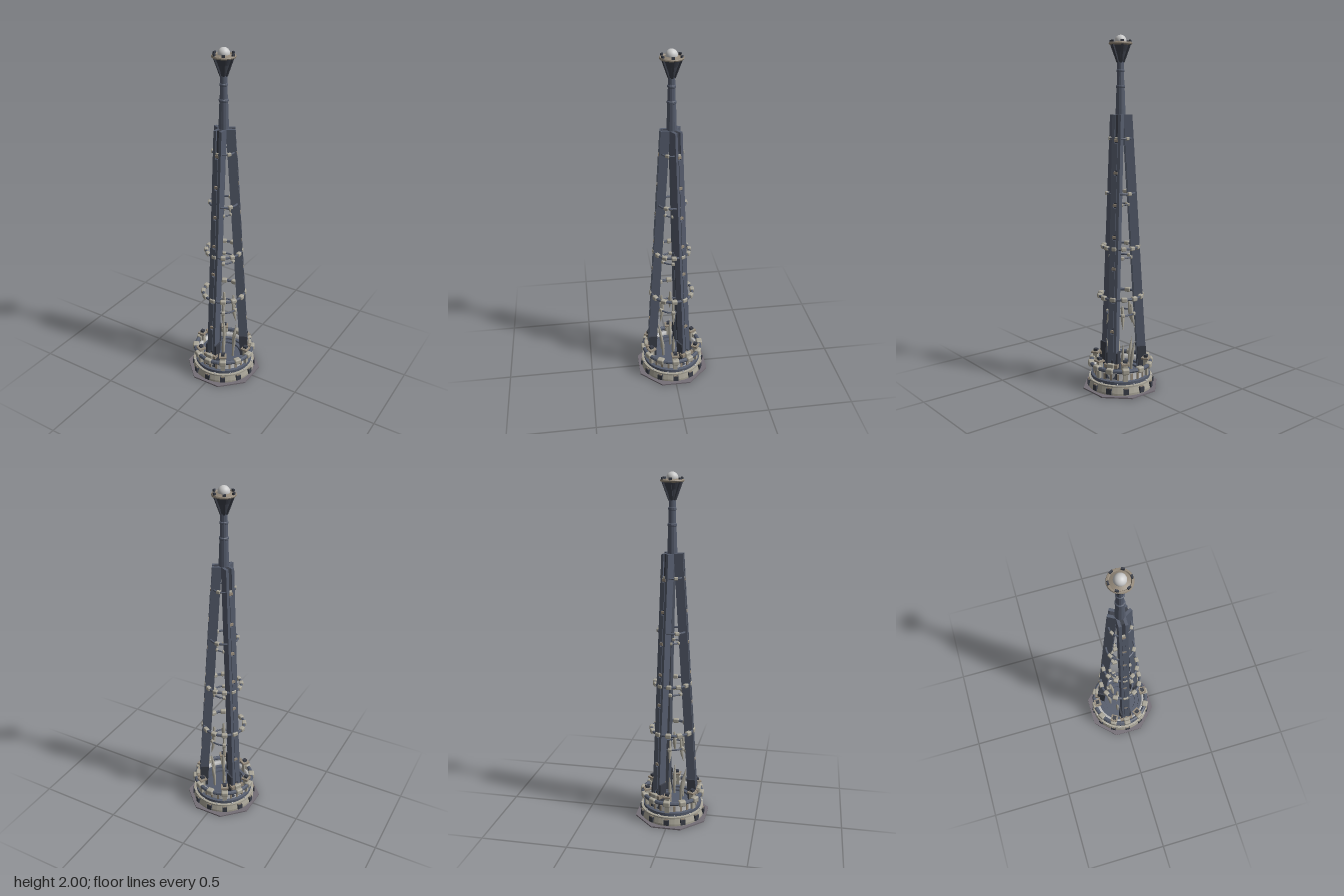
import * as THREE from 'three';
import { RoundedBoxGeometry } from 'three/addons/geometries/RoundedBoxGeometry.js';

const mat = (color, extra = {}) => new THREE.MeshStandardMaterial({ color, ...extra });
const steel = mat(0x555c6c, { flatShading: true });
const dark = mat(0x3a3e48, { flatShading: true });
const stone = mat(0xa9a598);
const bronze = mat(0x94897a, { flatShading: true });
const slab = mat(0x746e76, { flatShading: true });
const pale = mat(0xcccccc);

// Leg centre line: distance from the axis at height y
const SLOPE = -0.0606;
const legRadius = (y) => 0.12 + SLOPE * (y - 0.2);

function add(parent, name, geometry, material, x = 0, y = 0, z = 0) {
  const mesh = new THREE.Mesh(geometry, material);
  mesh.name = name;
  mesh.position.set(x, y, z);
  parent.add(mesh);
  return mesh;
}

// Group turned so that its local +z points outward at angle a
function spoke(parent, name, a) {
  const g = new THREE.Group();
  g.name = name;
  g.rotation.y = Math.PI / 2 - a;
  parent.add(g);
  return g;
}

function around(parent, name, count, offset, build) {
  for (let i = 0; i < count; i++) build(spoke(parent, name, offset + (i * 2 * Math.PI) / count), i);
}

function lathe(parent, name, points, material, segments = 48) {
  const geometry = new THREE.LatheGeometry(points.map(([r, y]) => new THREE.Vector2(r, y)), segments);
  return add(parent, name, geometry, material);
}

const box = (w, h, d) => new THREE.BoxGeometry(w, h, d);
const pad = (w, h, d) => new RoundedBoxGeometry(w, h, d, 2, Math.min(w, h, d) * 0.25);

// Box between two heights that leans with the leg but keeps level ends
function leaningBox(w, d, y0, y1, x, out) {
  const g = box(w, y1 - y0, d);
  const p = g.attributes.position;
  for (let i = 0; i < p.count; i++) {
    const y = p.getY(i) + (y0 + y1) / 2;
    p.setXYZ(i, p.getX(i) + x, y, p.getZ(i) + out + legRadius(y));
  }
  g.computeVertexNormals();
  return g;
}

// Dark hoop carrying rounded pads
function padRing(parent, name, y, r, tube, count, size, offset = 0) {
  const ring = new THREE.Group();
  ring.name = name;
  parent.add(ring);
  const hoop = new THREE.TorusGeometry(r, tube, 8, 48).rotateX(Math.PI / 2);
  add(ring, 'hoop', hoop, steel, 0, y, 0);
  around(ring, 'padMount', count, offset, (s) => add(s, 'pad', pad(...size), stone, 0, y, r));
  return ring;
}

// Pointed horn, curving outward towards its tip
function hornGeometry(length, dir) {
  const profile = [[0, 0], [0.007, 0.02], [0.008, 0.3], [0.011, 0.45], [0.008, 0.7], [0, 1]];
  const g = new THREE.LatheGeometry(profile.map(([r, t]) => new THREE.Vector2(r, t * length)), 8);
  const p = g.attributes.position;
  for (let i = 0; i < p.count; i++) {
    const t = p.getY(i) / length;
    p.setZ(i, p.getZ(i) + 0.022 * t * t);
  }
  if (dir < 0) g.rotateZ(Math.PI);
  g.computeVertexNormals();
  return g;
}

function buildBase(model) {
  const base = new THREE.Group();
  base.name = 'base';
  model.add(base);
  const plate = new THREE.CylinderGeometry(0.223, 0.223, 0.008, 8).rotateY(Math.PI / 8);
  add(base, 'basePlate', plate, slab, 0, 0.004, 0);
  lathe(base, 'lowerDrum', [[0.187, 0.008], [0.187, 0.02], [0.178, 0.052], [0.186, 0.054], [0.186, 0.063],
    [0.168, 0.065], [0.168, 0.066]], mat(0xa9a598, { flatShading: true, side: THREE.DoubleSide }));
  lathe(base, 'darkBand', [[0.172, 0.063], [0.172, 0.082], [0.155, 0.085]], steel);
  lathe(base, 'upperDrum', [[0.152, 0.075], [0.152, 0.122], [0.158, 0.125], [0.158, 0.132], [0.143, 0.132],
    [0.143, 0.108]], pale);
  lathe(base, 'steppedFloor', [[0.145, 0.11], [0.125, 0.11], [0.123, 0.1], [0.1, 0.1], [0.098, 0.09],
    [0, 0.09]], steel);

  // Blocks around the foot and bolts on the ledge
  around(base, 'footBlock', 12, 0, (s) => {
    add(s, 'block', box(0.03, 0.032, 0.022), dark, 0, 0.03, 0.182);
    add(s, 'blockCap', box(0.022, 0.008, 0.02), bronze, 0, 0.049, 0.18);
  });
  around(base, 'bolt', 12, Math.PI / 12, (s) =>
    add(s, 'bolt', new THREE.CylinderGeometry(0.004, 0.004, 0.014, 8), pale, 0, 0.067, 0.181));

  // Main railing ring with twelve pads and six capped posts
  padRing(base, 'mainRing', 0.145, 0.172, 0.012, 12, [0.042, 0.034, 0.036]);
  around(base, 'capPost', 6, 0, (s) => {
    add(s, 'post', box(0.026, 0.11, 0.026), stone, 0, 0.135, 0.155);
    add(s, 'postPlate', box(0.044, 0.009, 0.044), bronze, 0, 0.183, 0.155);
    add(s, 'postCap', box(0.022, 0.016, 0.022), dark, 0, 0.195, 0.155);
  });
  around(base, 'drumRib', 24, 0, (s) => add(s, 'rib', box(0.012, 0.04, 0.008), bronze, 0, 0.1, 0.154));
}

function buildLeg(leg) {
  const bottom = 0.09, top = 1.57;
  for (const side of [-1, 1]) {
    add(leg, 'legRail', leaningBox(0.016, 0.05, bottom, top, side * 0.017, 0), steel);
    add(leg, 'footRib', leaningBox(0.01, 0.05, bottom, 0.24, side * 0.03, 0), dark);
  }
  add(leg, 'legCore', leaningBox(0.02, 0.036, bottom, top, 0, -0.003), dark);
  // Raised panels with clips at the joints, along the outer channel
  for (let i = 0; i < 7; i++) {
    const y = 0.2 + i * 0.178;
    add(leg, 'channelPanel', leaningBox(0.016, 0.012, y, y + 0.148, 0, 0.022), steel);
    add(leg, 'channelClip', leaningBox(0.022, 0.01, y + 0.156, y + 0.17, 0, 0.022), bronze);
  }
  // Foot collar
  add(leg, 'footCollar', box(0.08, 0.02, 0.032), bronze, 0, 0.168, 0.146);
  add(leg, 'collarPad', pad(0.04, 0.03, 0.02), stone, 0, 0.17, 0.16);
}

function buildSpire(model) {
  const spire = new THREE.Group();
  spire.name = 'spire';
  model.add(spire);
  lathe(spire, 'mast', [[0, 1.5], [0.029, 1.5], [0.027, 1.6], [0.023, 1.715], [0.026, 1.718], [0.026, 1.728],
    [0.021, 1.732], [0.02, 1.8], [0.023, 1.803], [0.023, 1.812], [0.019, 1.815], [0.018, 1.87], [0, 1.87]], steel, 12);
  lathe(spire, 'crownFunnel', [[0.018, 1.855], [0.022, 1.87], [0.03, 1.91], [0.046, 1.95]], dark, 24);
  lathe(spire, 'crownDish', [[0.044, 1.945], [0.062, 1.949], [0.065, 1.955], [0.062, 1.961], [0.054, 1.962],
    [0.05, 1.957], [0.03, 1.965], [0, 1.965]], bronze, 32);
  add(spire, 'orb', new THREE.SphereGeometry(0.032, 32, 20), pale, 0, 1.968, 0);
  around(spire, 'crownStrut', 6, 0, (s) => {
    const strut = add(s, 'strut', box(0.011, 0.115, 0.009), dark, 0, 1.907, 0.038);
    strut.rotation.x = 0.37;
    add(s, 'crownPeg', box(0.018, 0.018, 0.009), dark, 0, 1.963, 0.056);
  });
}

export function createModel() {
  const model = new THREE.Group();
  model.name = 'tower';
  buildBase(model);
  around(model, 'leg', 3, Math.PI / 2, buildLeg);

  // Outer rings, shrinking with height
  padRing(model, 'outerRing', 0.545, 0.121, 0.008, 12, [0.034, 0.026, 0.026]);
  padRing(model, 'outerRing', 0.83, 0.101, 0.007, 12, [0.029, 0.023, 0.023]);
  padRing(model, 'outerRing', 1.135, 0.078, 0.006, 6, [0.027, 0.02, 0.02], Math.PI / 6);
  padRing(model, 'outerRing', 1.44, 0.06, 0.005, 6, [0.022, 0.018, 0.016], Math.PI / 6);
  // Inner rings
  padRing(model, 'innerRing', 0.44, 0.078, 0.005, 6, [0.022, 0.02, 0.02]);
  padRing(model, 'innerRing', 0.77, 0.062, 0.005, 6, [0.02, 0.018, 0.018]);
  padRing(model, 'innerRing', 1.07, 0.046, 0.004, 6, [0.018, 0.016, 0.016]);

  // Facing horns inside the lower cage
  const rising = hornGeometry(0.19, 1), hanging = hornGeometry(0.14, -1);
  around(model, 'horns', 6, 0, (s) => {
    add(s, 'risingHorn', rising, stone, 0, 0.09, 0.066);
    add(s, 'hangingHorn', hanging, stone, 0, 0.495, 0.066);
  });

  buildSpire(model);
  return model;
}
